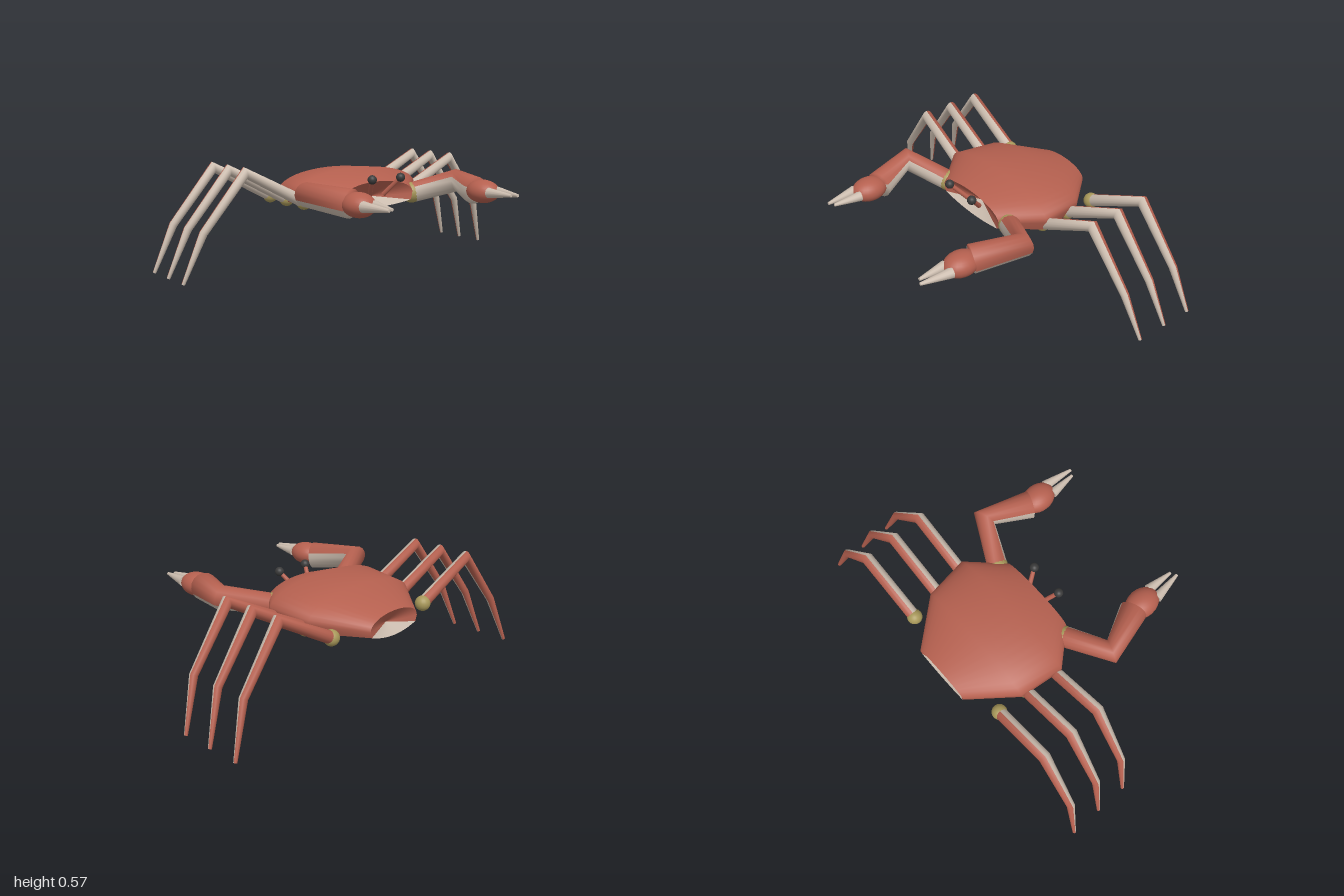
import * as THREE from 'three';

const mat = (name, color, side = THREE.FrontSide) => {
  const m = new THREE.MeshStandardMaterial({ color, side });
  m.name = name;
  return m;
};
const V = (x, y, z) => new THREE.Vector3(x, y, z);

// Skin a surface through rings that have equal point counts
function loft(rings) {
  const n = rings[0].length, index = [];
  for (let i = 0; i < rings.length - 1; i++) {
    for (let j = 0; j < n - 1; j++) {
      const a = i * n + j, c = a + n;
      index.push(a, a + 1, c + 1, a, c + 1, c);
    }
  }
  const g = new THREE.BufferGeometry();
  g.setAttribute('position', new THREE.Float32BufferAttribute(rings.flat().flatMap(p => p.toArray()), 3));
  g.setIndex(index);
  g.computeVertexNormals();
  return g;
}

// Half of a jointed limb; pale direction is the middle of the pale half
function halfLimb(points, radii, paleDirs, start) {
  const rings = points.map((p, i) => {
    const before = points[Math.max(i - 1, 0)], after = points[Math.min(i + 1, points.length - 1)];
    const t = p.clone().sub(before).normalize().add(after.clone().sub(p).normalize()).normalize();
    const u = paleDirs[i].clone().addScaledVector(t, -paleDirs[i].dot(t)).normalize();
    const v = t.clone().cross(u);
    return Array.from({ length: 9 }, (_, k) => {
      const a = start + k * Math.PI / 8;
      return p.clone().addScaledVector(u, radii[i] * Math.cos(a)).addScaledVector(v, radii[i] * Math.sin(a));
    });
  });
  const tip = points[points.length - 1];
  rings.push(rings[0].map(() => tip.clone()));
  return loft(rings);
}

export function createModel() {
  const model = new THREE.Group();
  model.name = 'crab';
  const red = mat('shell red', 0xb5604f, THREE.DoubleSide);
  const pale = mat('pale underside', 0xcbbcae, THREE.DoubleSide);
  const ochre = mat('joint ochre', 0xa8985a);
  const dark = mat('eye dark', 0x3a3a3a);

  const add = (parent, name, geometry, material, pos) => {
    const m = new THREE.Mesh(geometry, material);
    m.name = name;
    if (pos) m.position.copy(pos);
    parent.add(m);
    return m;
  };
  const rod = (parent, name, a, b, ra, rb, material) => {
    const d = b.clone().sub(a);
    const m = add(parent, name, new THREE.CylinderGeometry(rb, ra, d.length(), 12), material,
      a.clone().add(b).multiplyScalar(0.5));
    m.quaternion.setFromUnitVectors(V(0, 1, 0), d.normalize());
  };
  const limb = (parent, name, points, radii, dirs) => {
    add(parent, name + 'Pale', halfLimb(points, radii, dirs, -Math.PI / 2), pale);
    add(parent, name + 'Red', halfLimb(points, radii, dirs, Math.PI / 2), red);
  };

  // Body stations: z, half width, top, side, rim and bottom heights
  const stations = [
    [0.015, 0.23, 0.47, 0.39, 0.355, 0.335],
    [-0.165, 0.39, 0.53, 0.41, 0.355, 0.33],
    [-0.4, 0.36, 0.515, 0.40, 0.35, 0.325],
    [-0.625, 0.17, 0.44, 0.37, 0.34, 0.312],
  ];
  const body = new THREE.Group();
  body.name = 'body';
  model.add(body);
  const shellRings = stations.map(([z, w, top, side, rim]) => {
    const ring = [V(-w * 0.94, rim, z)];
    for (let i = 0; i <= 20; i++) {
      const a = Math.PI * (1 - i / 20);
      ring.push(V(w * Math.cos(a), side + (top - side) * Math.pow(Math.sin(a) + 1e-9, 0.9), z));
    }
    ring.push(V(w * 0.94, rim, z));
    return ring;
  });
  const bellyRings = stations.map(([z, w, , , rim, bottom]) =>
    Array.from({ length: 13 }, (_, i) => {
      const k = 1 - i / 6;
      return V(w * 0.94 * k, bottom + (rim - bottom) * k * k, z);
    }));
  for (const [name, rings, material] of [['shell', shellRings, red], ['belly', bellyRings, pale]]) {
    add(body, name, loft(rings), material);
    // Hollowed front and back ends
    const front = rings[0], back = rings[3];
    add(body, name + 'Front', loft([front.map(() => V(0, 0.385, -0.06)), front]), material);
    add(body, name + 'Back', loft([back, back.map(() => V(0, 0.365, -0.57))]), material);
  }

  for (const s of [1, -1]) {
    const sideName = s > 0 ? 'left' : 'right';

    // Three walking legs with ball joints
    [-0.19, -0.36, -0.53].forEach((z, i) => {
      const leg = new THREE.Group();
      leg.name = `${sideName}Leg${i + 1}`;
      model.add(leg);
      const base = V(s * 0.335, 0.365, z);
      add(leg, 'legJoint', new THREE.SphereGeometry(0.04, 20, 14), ochre, base);
      limb(leg, 'leg',
        [base, V(s * 0.675, 0.54, z - 0.005), V(s * 0.9, 0.255, z - 0.03), V(s * 0.993, 0.004, z - 0.077)],
        [0.032, 0.031, 0.021, 0.009], Array(4).fill(V(0, 0, 1)));
    });

    // Claw arm
    const arm = new THREE.Group();
    arm.name = sideName + 'Arm';
    model.add(arm);
    const base = V(s * 0.26, 0.385, -0.03);
    add(arm, 'armJoint', new THREE.SphereGeometry(0.056, 20, 14), ochre, base);
    limb(arm, 'arm', [base, V(s * 0.49, 0.446, 0.08), V(s * 0.4, 0.422, 0.32)], [0.055, 0.062, 0.073],
      [V(-s * 0.2, -0.8, 0.6), V(-s * 0.3, -0.9, 0.3), V(-s * 0.4, -0.9, 0)]);
    const palm = add(arm, 'palm', new THREE.SphereGeometry(1, 24, 16), red, V(s * 0.4, 0.423, 0.38));
    palm.scale.set(0.075, 0.061, 0.098);
    rod(arm, 'outerFinger', V(s * 0.43, 0.425, 0.455), V(s * 0.408, 0.425, 0.622), 0.028, 0.008, pale);
    rod(arm, 'innerFinger', V(s * 0.368, 0.425, 0.455), V(s * 0.378, 0.425, 0.605), 0.027, 0.008, pale);

    // Stalked eye
    const eye = V(s * 0.093, 0.49, 0.08);
    rod(model, sideName + 'EyeStalk', V(s * 0.045, 0.395, -0.005), eye, 0.013, 0.011, red);
    add(model, sideName + 'Eye', new THREE.SphereGeometry(0.024, 18, 12), dark, eye);
  }
  return model;
}
